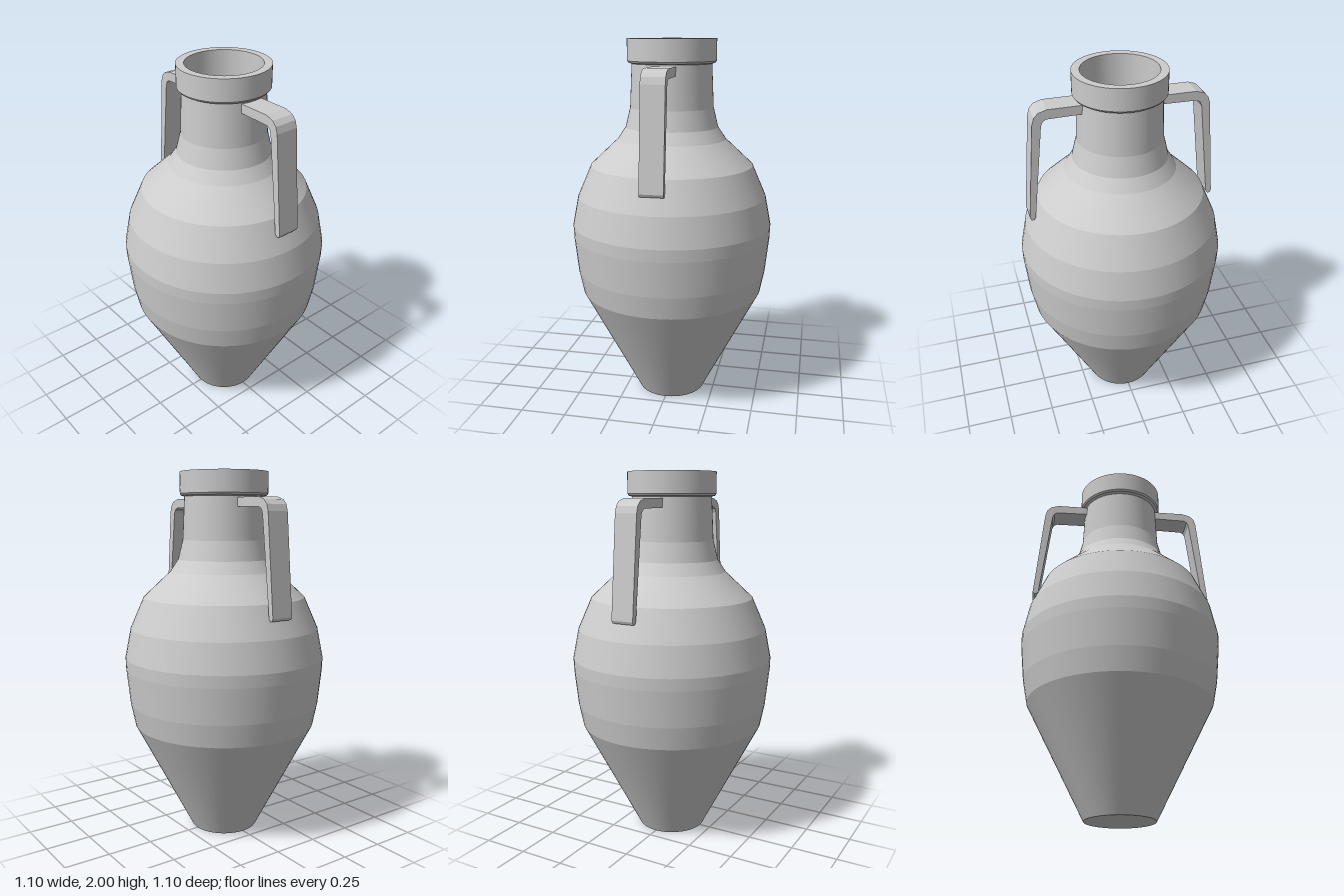
import * as THREE from 'three';

export function createModel() {
  const model = new THREE.Group();
  model.name = 'amphora';
  const clay = new THREE.MeshStandardMaterial({ color: 0xcccccc });
  clay.name = 'pale grey clay';

  // Turned profile: foot, belly, shoulder, neck, collar, then down the bore
  const profile = [
    [0, 0], [0.187, 0], [0.505, 0.615], [0.53, 0.74], [0.55, 0.935],
    [0.552, 1.0], [0.52, 1.16], [0.445, 1.33], [0.295, 1.47], [0.252, 1.535],
    [0.226, 1.64], [0.215, 1.87], [0.232, 1.875], [0.239, 1.885], [0.239, 2],
    [0.197, 2], [0.197, 0.1], [0, 0.1],
  ];
  // Doubling each inner point keeps the bands crisp and the round smooth
  const points = profile.flatMap(([r, y], i) => {
    const p = new THREE.Vector2(r, y);
    return i === 0 || i === profile.length - 1 ? [p] : [p, p.clone()];
  });
  const body = new THREE.Mesh(new THREE.LatheGeometry(points, 64), clay);
  body.name = 'body';
  model.add(body);

  // Flat strap handle, bent outwards from the neck and down to the shoulder
  const strap = new THREE.Shape([
    [0.205, 1.815], [0.385, 1.812], [0.403, 1.802], [0.413, 1.78],
    [0.474, 1.265], [0.484, 1.25], [0.498, 1.25], [0.505, 1.265],
    [0.457, 1.79], [0.446, 1.825], [0.424, 1.848], [0.38, 1.862], [0.205, 1.862],
  ].map(([x, y]) => new THREE.Vector2(x, y)));
  const width = 0.125;
  const handleGeometry = new THREE.ExtrudeGeometry(strap, { depth: width, bevelEnabled: false });
  handleGeometry.translate(0, 0, -width / 2);
  for (const [name, turn] of [['leftHandle', 0], ['rightHandle', Math.PI]]) {
    const handle = new THREE.Mesh(handleGeometry, clay);
    handle.name = name;
    handle.rotation.y = turn;
    model.add(handle);
  }
  return model;
}
